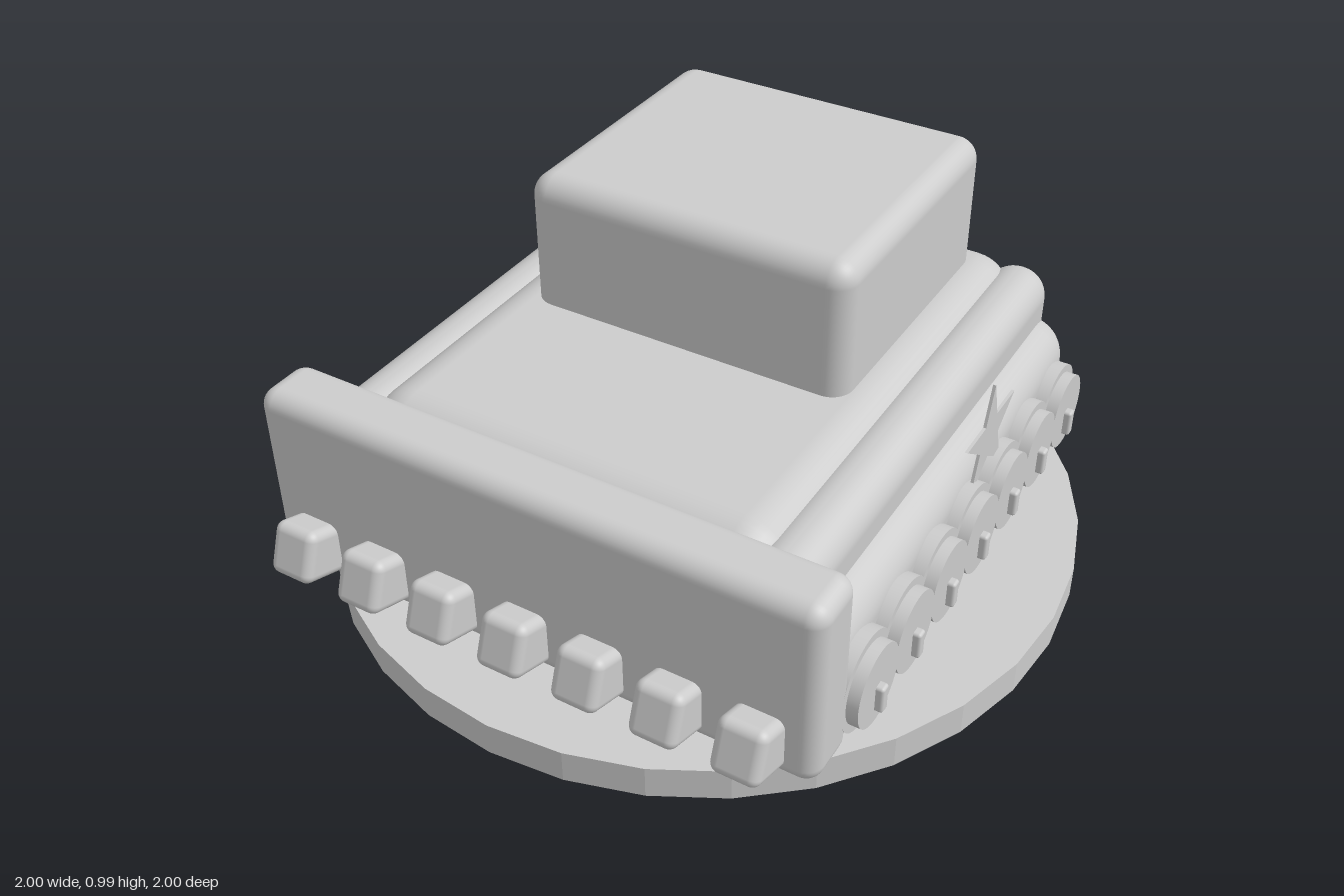
import * as THREE from 'three';
import { RoundedBoxGeometry } from 'three/addons/geometries/RoundedBoxGeometry.js';

export function createModel() {
  const model = new THREE.Group();
  model.name = 'toyTank';
  const grey = new THREE.MeshStandardMaterial({ color: 0xcccccc });
  grey.name = 'light grey';

  const add = (name, geometry, x, y, z) => {
    const mesh = new THREE.Mesh(geometry, grey);
    mesh.name = name;
    mesh.position.set(x, y, z);
    model.add(mesh);
    return mesh;
  };

  // Rounded box given by its minimum and maximum corners
  const block = (name, [x0, y0, z0], [x1, y1, z1], radius) =>
    add(name, new RoundedBoxGeometry(x1 - x0, y1 - y0, z1 - z0, 5, radius),
      (x0 + x1) / 2, (y0 + y1) / 2, (z0 + z1) / 2);

  // Faceted display disc
  const disc = new THREE.CylinderGeometry(1, 1, 0.09, 32).toNonIndexed();
  disc.computeVertexNormals();
  add('baseDisc', disc, 0, 0.045, 0);

  // Hull, turret and front plate
  block('hull', [-0.57, 0.2, -0.755], [0.57, 0.63, 0.72], 0.12);
  block('turret', [-0.45, 0.56, -0.66], [0.45, 0.99, 0.13], 0.06);
  block('frontPlate', [-0.76, 0.14, 0.66], [0.76, 0.655, 0.83], 0.045);

  // Teeth tilted upwards along the front plate
  for (let i = -3; i <= 3; i++) {
    const tooth = add('tooth', new RoundedBoxGeometry(0.125, 0.14, 0.2, 4, 0.025), i * 0.207, 0.25, 0.84);
    tooth.rotation.x = -0.35;
  }

  // Fenders, tracks and wheels on both sides
  const rim = new THREE.CylinderGeometry(0.125, 0.125, 0.14, 40).rotateZ(Math.PI / 2);
  const hub = new THREE.CylinderGeometry(0.104, 0.104, 0.1, 40).rotateZ(Math.PI / 2);
  const bolt = new RoundedBoxGeometry(0.06, 0.075, 0.03, 3, 0.008);
  for (const side of [-1, 1]) {
    const fender = block('fender', [0.49, 0.2, -0.76], [0.655, 0.605, 0.72], 0.08);
    const track = block('track', [0.51, 0.13, -0.755], [0.73, 0.475, 0.72], 0.108);
    fender.position.x *= side;
    track.position.x *= side;
    for (let i = -3; i <= 3; i++) {
      const z = i * 0.196;
      add('wheelRim', rim, side * 0.69, 0.27, z);
      add('wheelHub', hub, side * 0.74, 0.27, z);
      add('wheelBolt', bolt, side * 0.78, 0.238, z);
    }
  }

  // Thin star standing off the left side
  const star = new THREE.Shape();
  for (let i = 0; i < 10; i++) {
    const r = i % 2 ? 0.06 : 0.155;
    const a = Math.PI / 2 + i * Math.PI / 5;
    star[i ? 'lineTo' : 'moveTo'](r * Math.cos(a), r * Math.sin(a));
  }
  star.closePath();
  const plate = new THREE.ExtrudeGeometry(star, { depth: 0.008, bevelEnabled: false });
  add('sideStar', plate, 0.734, 0.482, -0.112).rotation.y = Math.PI / 2;

  return model;
}
